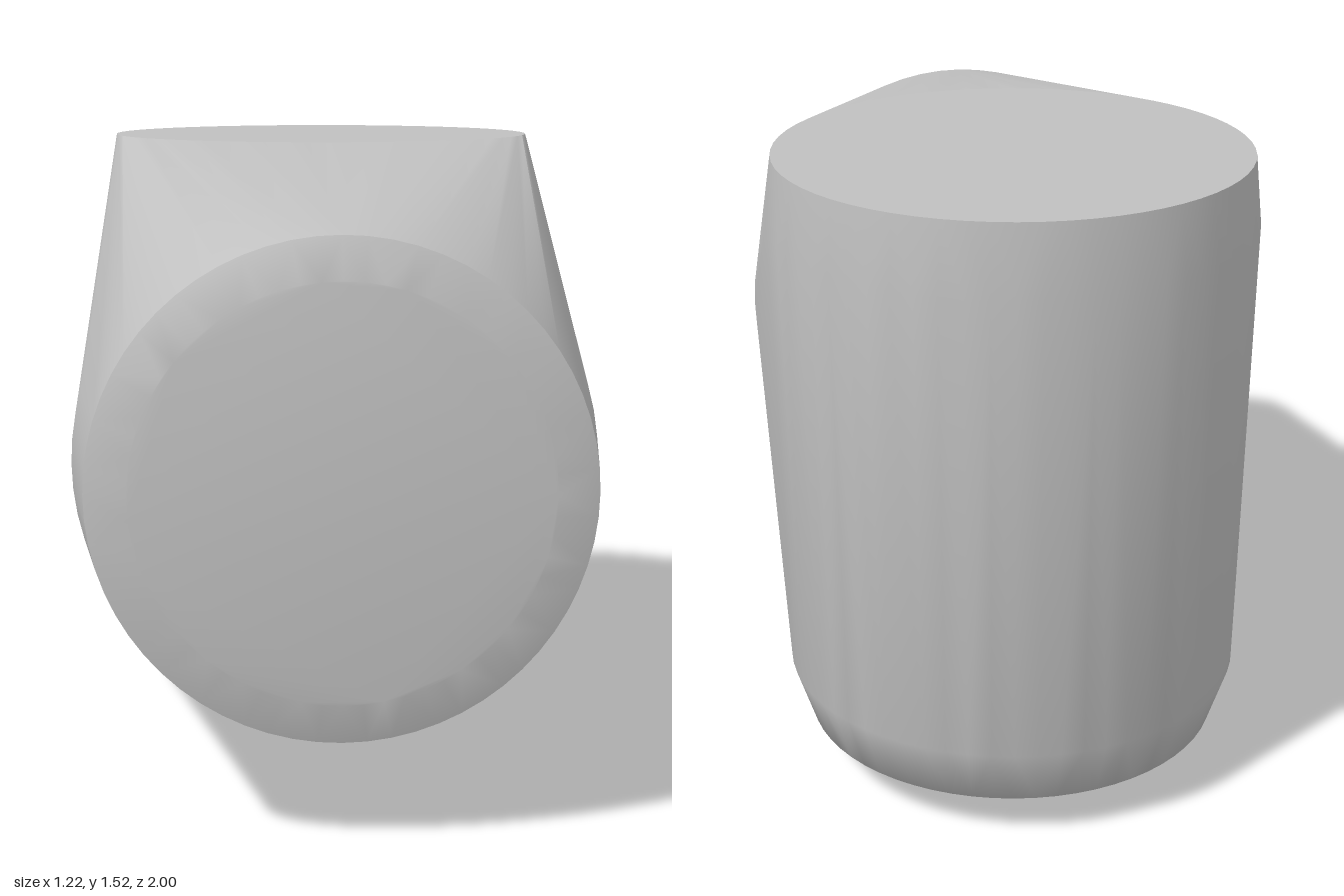
import * as THREE from 'three';
import { ConvexGeometry } from 'three/addons/geometries/ConvexGeometry.js';
import { toCreasedNormals } from 'three/addons/utils/BufferGeometryUtils.js';

const SEGMENTS = 64;

// circle of points placed by a rule from (cos, sin)
function ring(radius, place) {
  return Array.from({ length: SEGMENTS }, (_, i) => {
    const a = (i / SEGMENTS) * Math.PI * 2;
    return place(radius * Math.cos(a), radius * Math.sin(a));
  });
}

export function createModel() {
  const group = new THREE.Group();
  group.name = 'elbowBlock';
  const grey = new THREE.MeshStandardMaterial({ color: 0xc0c0c0 });
  grey.name = 'grey';

  const points = [];
  // upright barrel at the back: [radius, y]
  for (const [r, y] of [[0.2, 0], [0.275, 0.01], [0.5, 0.11], [0.547, 0.25], [0.571, 1.36], [0.555, 1.525]])
    points.push(...ring(r, (c, s) => new THREE.Vector3(c, y, s - 0.428)));
  // forward-facing barrel: [radius, z]
  for (const [r, z] of [[0.612, 0.6], [0.56, 0.967], [0.465, 1]])
    points.push(...ring(r, (c, s) => new THREE.Vector3(c, 0.81 + s, z)));

  // one skin stretched over both barrels, smooth with sharp rims
  const hull = new ConvexGeometry(points);
  hull.deleteAttribute('normal');
  const skin = toCreasedNormals(hull, THREE.MathUtils.degToRad(55));

  // keep the top and bottom discs flat shaded
  const p = skin.attributes.position, n = skin.attributes.normal;
  for (let i = 0; i < p.count; i += 3) {
    const ys = [p.getY(i), p.getY(i + 1), p.getY(i + 2)];
    const up = Math.min(...ys) > 1.5249 ? 1 : Math.max(...ys) < 0.0101 ? -1 : 0;
    if (up) for (let k = 0; k < 3; k++) n.setXYZ(i + k, 0, up, 0);
  }

  const body = new THREE.Mesh(skin, grey);
  body.name = 'body';
  group.add(body);
  return group;
}
